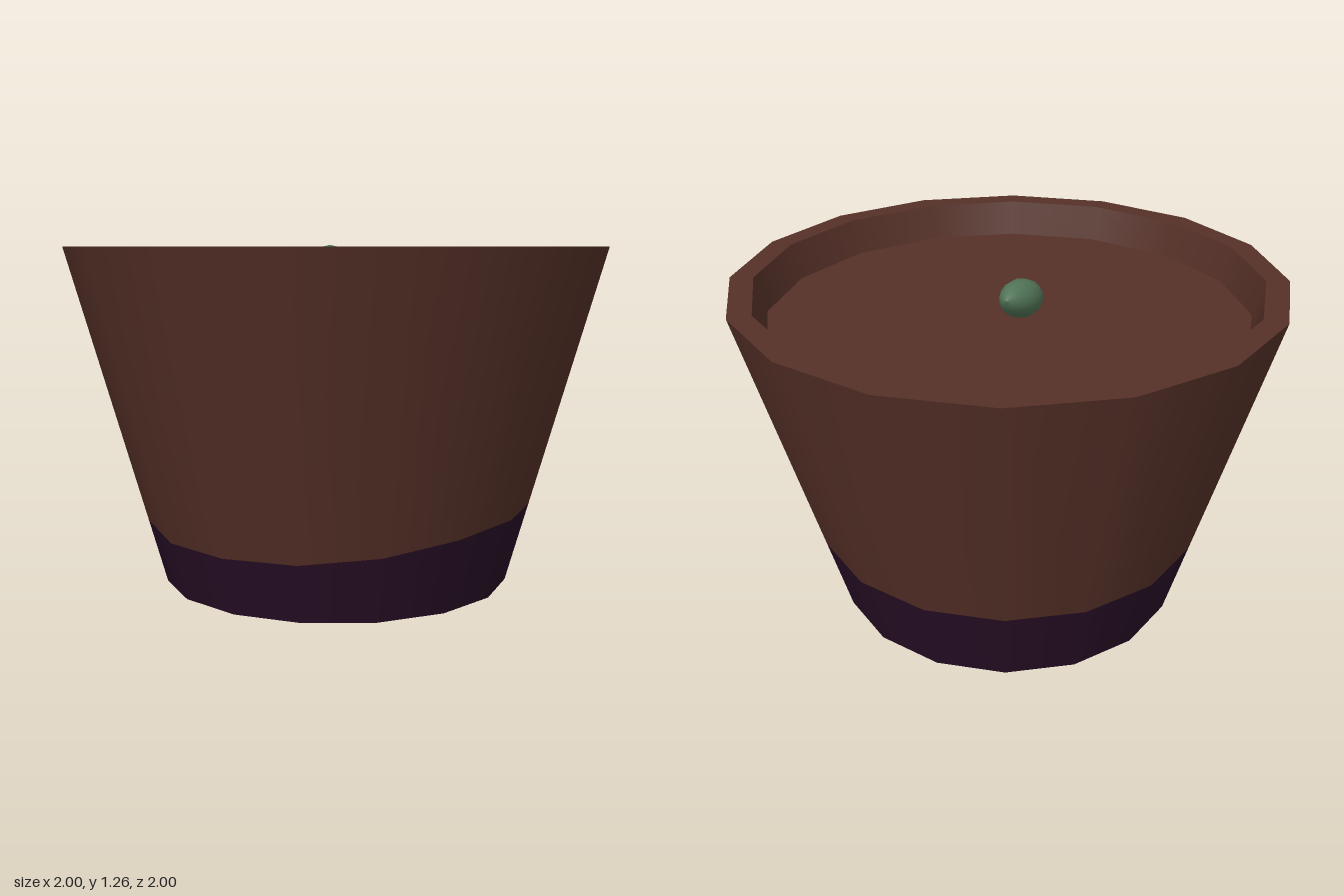
import * as THREE from 'three';

const SIDES = 16;
const HEIGHT = 1.25;
const BASE_R = 0.65;
const SOIL_Y = 1.12;
const outerRadius = (y) => BASE_R + (1 - BASE_R) * (y / HEIGHT);

// Height of the dark band: level round the back, dipping towards the front
function bandHeight(x, z) {
  const facing = Math.max(0, Math.cos(Math.atan2(x, z)));
  const t = Math.min(1, facing * 1.04);
  return 0.295 - 0.085 * t * t * (1.9 - 0.9 * t);
}

export function createModel() {
  const brown = new THREE.MeshStandardMaterial({ color: 0x553027 });
  brown.name = 'brown clay';
  const purple = new THREE.MeshStandardMaterial({ color: 0x270e25 });
  purple.name = 'dark purple glaze';
  const green = new THREE.MeshStandardMaterial({ color: 0x527558 });
  green.name = 'seed green';

  const group = new THREE.Group();
  group.name = 'plantPot';

  function add(name, geometry, material) {
    const mesh = new THREE.Mesh(geometry, material);
    mesh.name = name;
    group.add(mesh);
    return mesh;
  }

  // One revolved strip between two [radius, height] points
  const strip = (a, b) =>
    new THREE.LatheGeometry([new THREE.Vector2(...a), new THREE.Vector2(...b)], SIDES);

  // Slide the vertices lying at height y along the sloped wall to the band line
  function fitToBand(geometry, y) {
    const p = geometry.attributes.position;
    for (let i = 0; i < p.count; i++) {
      if (Math.abs(p.getY(i) - y) > 1e-4) continue;
      const x = p.getX(i), z = p.getZ(i);
      const h = bandHeight(x, z);
      const k = outerRadius(h) / outerRadius(y);
      p.setXYZ(i, x * k, h, z * k);
    }
    return geometry;
  }

  // Outer wall, split along the band line
  const split = 0.25;
  const splitPoint = [outerRadius(split), split];
  add('baseBand', fitToBand(strip([BASE_R, 0], splitPoint), split), purple);
  add('potWall', fitToBand(strip(splitPoint, [1, HEIGHT]), split), brown);
  add('potBottom', strip([0, 0], [BASE_R, 0]), purple);

  // Rim, inner wall and soil
  add('rim', strip([1, HEIGHT], [0.915, HEIGHT]), brown);
  add('innerWall', strip([0.915, HEIGHT], [0.877, SOIL_Y]), brown);
  add('soil', strip([0.877, SOIL_Y], [0, SOIL_Y]), brown);

  // Pointed seed lying on the soil, its back end tipped up
  const profile = [[0, -0.145], [0.022, -0.13], [0.044, -0.1], [0.063, -0.055], [0.071, 0],
    [0.063, 0.055], [0.044, 0.1], [0.022, 0.13], [0, 0.145]];
  const seedGeometry = new THREE.LatheGeometry(profile.map((p) => new THREE.Vector2(...p)), 16);
  seedGeometry.rotateX(Math.PI / 2);
  const seed = add('seed', seedGeometry, green);
  seed.position.set(-0.045, 1.182, 0.01);
  seed.rotation.x = 0.27;

  return group;
}
